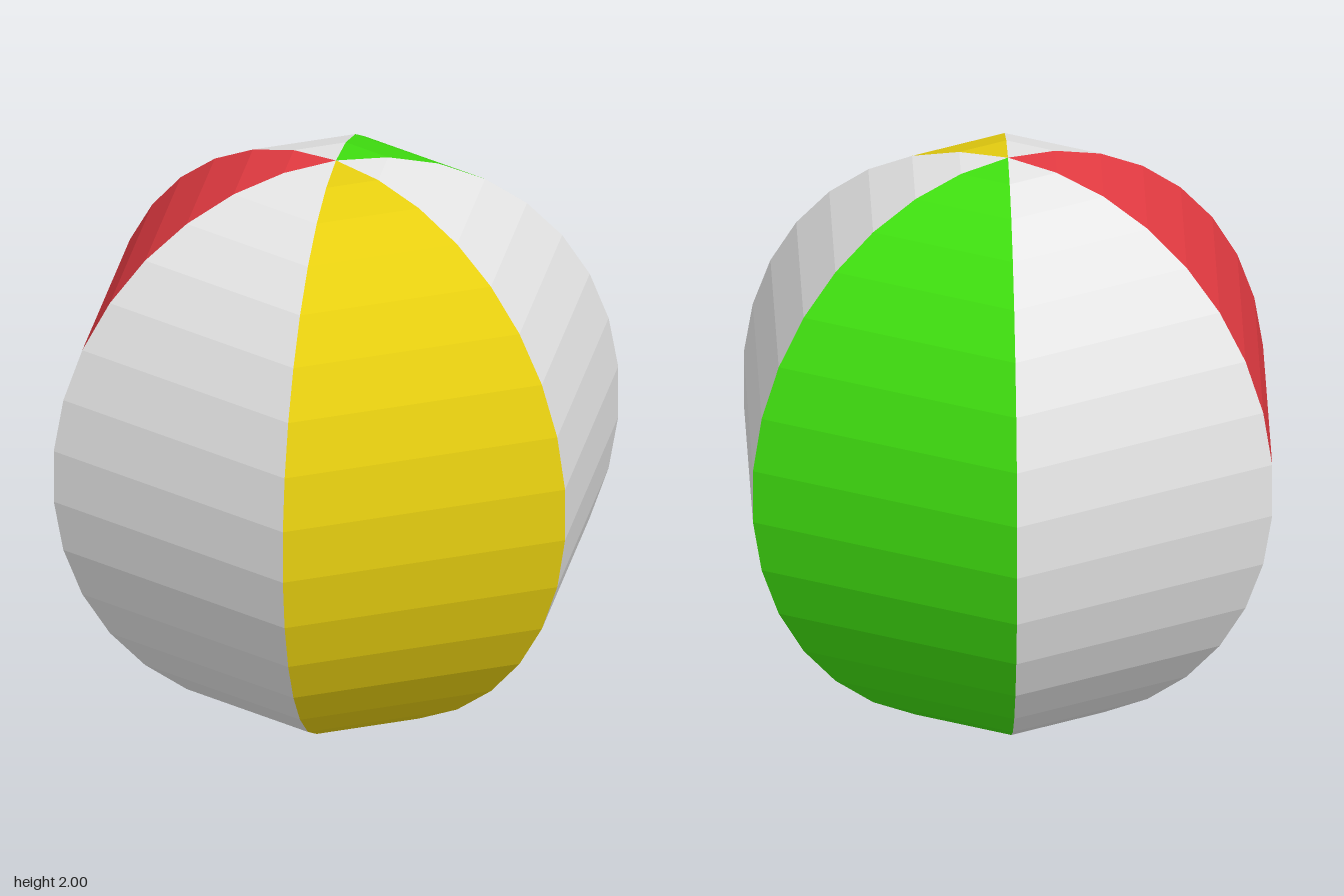
import * as THREE from 'three';

const white = new THREE.MeshStandardMaterial({ name: 'white', color: 0xe6e6e6 });
const green = new THREE.MeshStandardMaterial({ name: 'green', color: 0x40e010 });
const red = new THREE.MeshStandardMaterial({ name: 'red', color: 0xe53b42 });
const yellow = new THREE.MeshStandardMaterial({ name: 'yellow', color: 0xe6ce10 });

const BANDS = 17;

// Half-circle profile, from the bottom pole to the top pole
function profile() {
  const points = [];
  for (let i = 0; i <= BANDS; i++) {
    const a = (i / BANDS - 0.5) * Math.PI;
    const pole = i === 0 || i === BANDS;
    points.push(new THREE.Vector2(pole ? 0 : Math.cos(a), 1 + Math.sin(a)));
  }
  return points;
}

// One gore of the ball, flat across its width and faceted along its height
function gore(index) {
  const geometry = new THREE.LatheGeometry(profile(), 1, index * Math.PI / 3, Math.PI / 3).toNonIndexed();
  geometry.computeVertexNormals();
  return geometry;
}

export function createModel() {
  const ball = new THREE.Group();
  ball.name = 'beachBall';

  // Six gores, counter-clockwise from the front seam
  const panels = [
    ['frontLeftPanel', white],
    ['leftPanel', green],
    ['backLeftPanel', white],
    ['backRightPanel', red],
    ['rightPanel', white],
    ['frontRightPanel', yellow],
  ];
  panels.forEach(([name, material], i) => {
    const mesh = new THREE.Mesh(gore(i), material);
    mesh.name = name;
    ball.add(mesh);
  });
  return ball;
}
